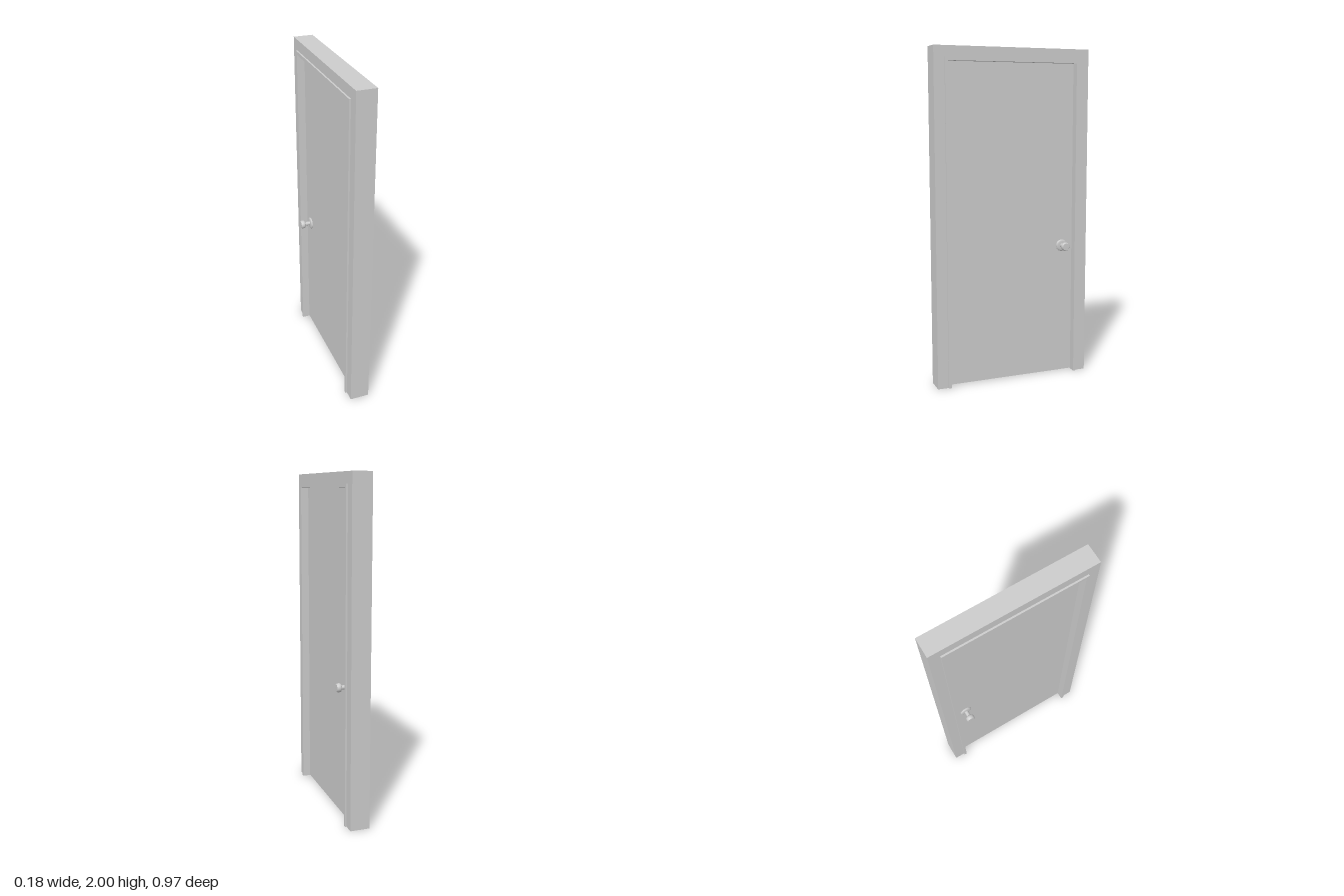
import * as THREE from 'three';

const grey = new THREE.MeshStandardMaterial({ color: 0xcccccc });

// Upside-down U standing on y = 0, extruded along x and centred on x = 0
function archGeometry(outerHalf, outerTop, innerHalf, innerTop, depth) {
  const s = new THREE.Shape([
    [-outerHalf, 0], [-innerHalf, 0], [-innerHalf, innerTop], [innerHalf, innerTop],
    [innerHalf, 0], [outerHalf, 0], [outerHalf, outerTop], [-outerHalf, outerTop],
  ].map(([x, y]) => new THREE.Vector2(x, y)));
  const g = new THREE.ExtrudeGeometry(s, { depth, bevelEnabled: false });
  g.translate(0, 0, -depth / 2);
  g.rotateY(Math.PI / 2);
  return g;
}

function addMesh(parent, name, geometry) {
  const mesh = new THREE.Mesh(geometry, grey);
  mesh.name = name;
  parent.add(mesh);
  return mesh;
}

// Turned part whose axis points along +x; points are [radius, distance]
function turned(points) {
  const g = new THREE.LatheGeometry(points.map(([r, d]) => new THREE.Vector2(r, d)), 32);
  g.rotateZ(-Math.PI / 2);
  return g;
}

export function createModel() {
  const model = new THREE.Group();
  model.name = 'door';

  // Outer frame and the slightly deeper lining inside it
  addMesh(model, 'frame', archGeometry(0.484, 2, 0.42, 1.937, 0.116));
  addMesh(model, 'lining', archGeometry(0.42, 1.937, 0.403, 1.917, 0.136));

  // Recessed door leaf
  const leaf = addMesh(model, 'doorLeaf', new THREE.BoxGeometry(0.042, 1.913, 0.806));
  leaf.position.y = 0.004 + 1.913 / 2;

  // Knob set on each face
  const faceX = 0.021;
  for (const side of [1, -1]) {
    const handle = new THREE.Group();
    handle.name = side > 0 ? 'leftHandle' : 'rightHandle';
    handle.position.set(side * faceX, 0.808, -0.333);
    if (side < 0) handle.rotation.y = Math.PI;

    addMesh(handle, 'rosette', turned([
      [0.036, 0], [0.036, 0.004], [0.036, 0.004], [0.033, 0.008], [0.026, 0.01], [0.012, 0.011],
    ]));
    addMesh(handle, 'neck', turned([[0.013, 0.008], [0.012, 0.022], [0.013, 0.046]]));
    addMesh(handle, 'knob', turned([
      [0.0, 0.042], [0.018, 0.042], [0.023, 0.045], [0.0255, 0.05], [0.026, 0.056],
      [0.0255, 0.063], [0.0235, 0.068], [0.021, 0.0705], [0.021, 0.0705], [0, 0.0707],
    ]));
    model.add(handle);
  }
  return model;
}
